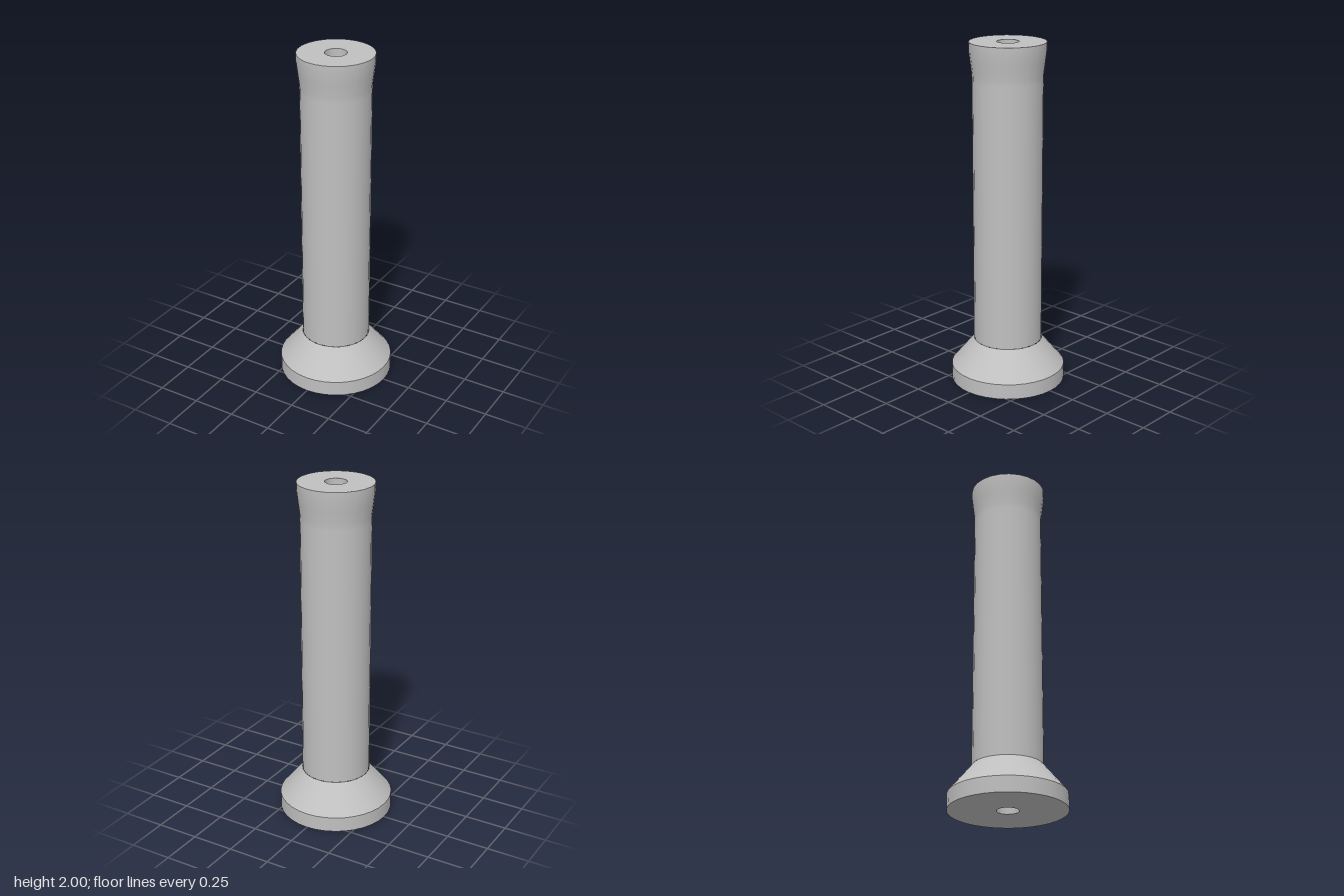
import * as THREE from 'three';

const START = Math.PI / 2;

export function createModel() {
  const group = new THREE.Group();
  group.name = 'flaredTubeWithBase';
  const metal = new THREE.MeshStandardMaterial({ color: 0xc0c0c0 });
  metal.name = 'plain grey';

  const add = (name, geometry) => {
    const mesh = new THREE.Mesh(geometry, metal);
    mesh.name = name;
    group.add(mesh);
    return mesh;
  };
  // Surface of revolution from [radius, height] pairs
  const turned = (name, points, sides) => add(name, new THREE.LatheGeometry(
    points.map(([r, y]) => new THREE.Vector2(r, y)), sides, START));

  const circle = (radius, sides) => Array.from({ length: sides }, (_, i) => {
    const a = (i / sides) * Math.PI * 2;
    return new THREE.Vector2(radius * Math.cos(a), radius * Math.sin(a));
  });
  // Flat end face with the bore cut through it
  const endFace = (name, radius, sides, y, tilt) => {
    const shape = new THREE.Shape(circle(radius, sides));
    shape.holes.push(new THREE.Path(circle(0.063, 14)));
    add(name, new THREE.ShapeGeometry(shape).rotateX(tilt).translate(0, y, 0));
  };

  // Base: straight rim and sloped collar
  turned('baseRim', [[0.332, 0], [0.332, 0.09]], 36);
  turned('baseCollar', [[0.332, 0.09], [0.199, 0.25]], 36);
  endFace('baseUnderside', 0.332, 36, 0, Math.PI / 2);

  // Shaft flaring smoothly into the lip
  turned('shaft', [[0.199, 0.25], [0.199, 1.78], [0.2, 1.82], [0.209, 1.89],
    [0.217, 1.955], [0.217, 2]], 24);
  endFace('topFace', 0.217, 24, 2, -Math.PI / 2);

  // Bore running the full height
  turned('bore', [[0.063, 2], [0.063, 0]], 14);

  return group;
}
